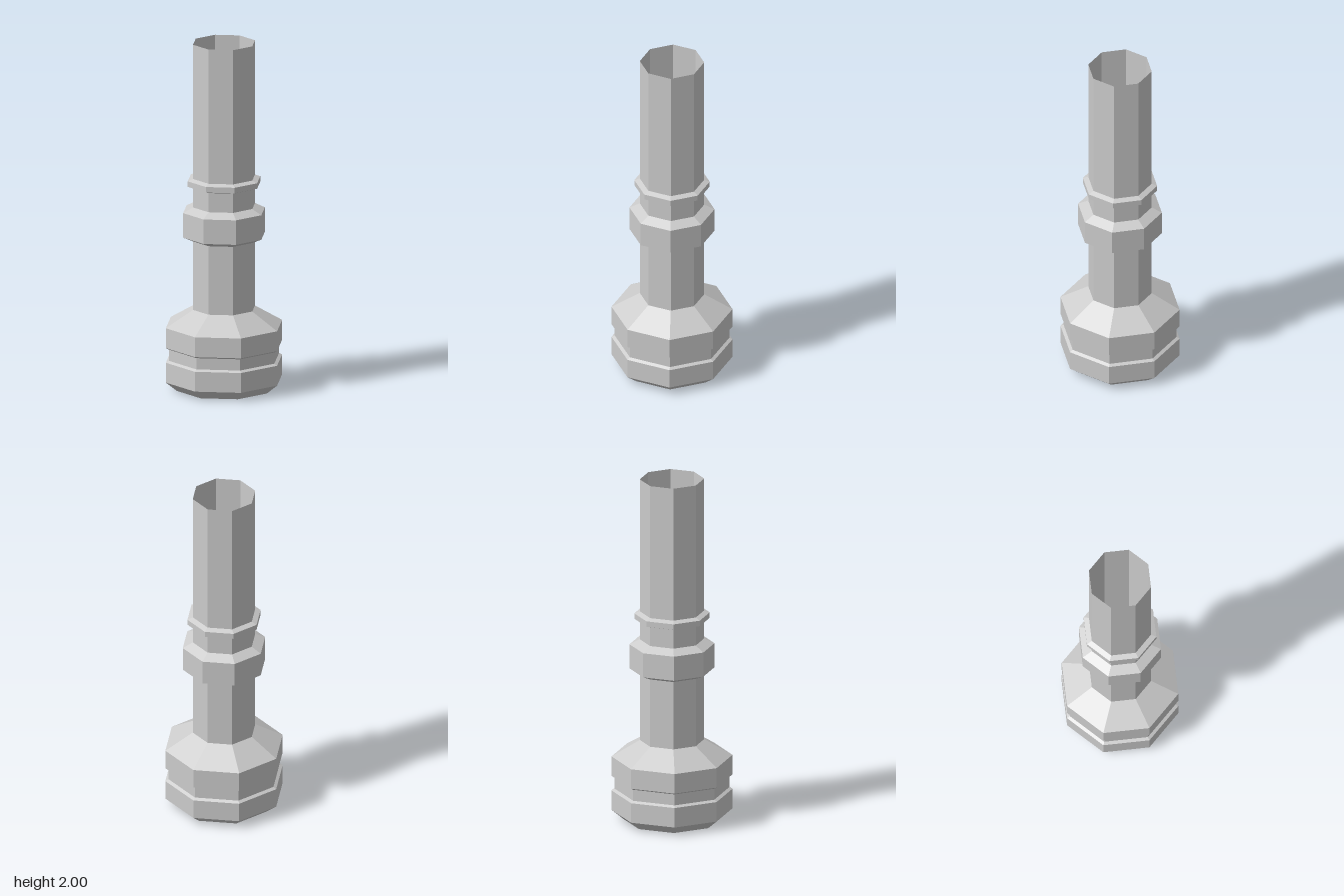
import * as THREE from 'three';

const SIDES = 8;

// Eight-sided turned part; profile points are [radius, height], outer walls run upward.
function turned(name, profile) {
  const points = profile.map(([r, y]) => new THREE.Vector2(r, y));
  const material = new THREE.MeshStandardMaterial({
    color: 0xcccccc, flatShading: true, side: THREE.DoubleSide,
  });
  const mesh = new THREE.Mesh(new THREE.LatheGeometry(points, SIDES), material);
  mesh.name = name;
  return mesh;
}

export function createModel() {
  const group = new THREE.Group();
  group.name = 'handle';
  const R = 0.181; // tube radius

  // Base: recessed underneath, grooved around the middle, sloping up to the tube
  group.add(turned('base', [
    [0, 0.245], [0.23, 0.245], [0.23, 0], [0.275, 0],
    [0.34, 0.053], [0.34, 0.168], [0.322, 0.178],
    [0.322, 0.243], [0.34, 0.253], [0.34, 0.368], [R, 0.463],
  ]));

  // Tube: thin wall, open at the top and running down into the hollow base
  group.add(turned('tube', [[R, 0.463], [R, 2]]));

  // Wide bevelled collar and narrow ring around the tube
  group.add(turned('collar', [[R, 0.86], [0.239, 0.886], [0.239, 1.028], [R, 1.057]]));
  group.add(turned('ring', [[R, 1.168], [0.212, 1.178], [0.212, 1.21], [R, 1.222]]));

  return group;
}
